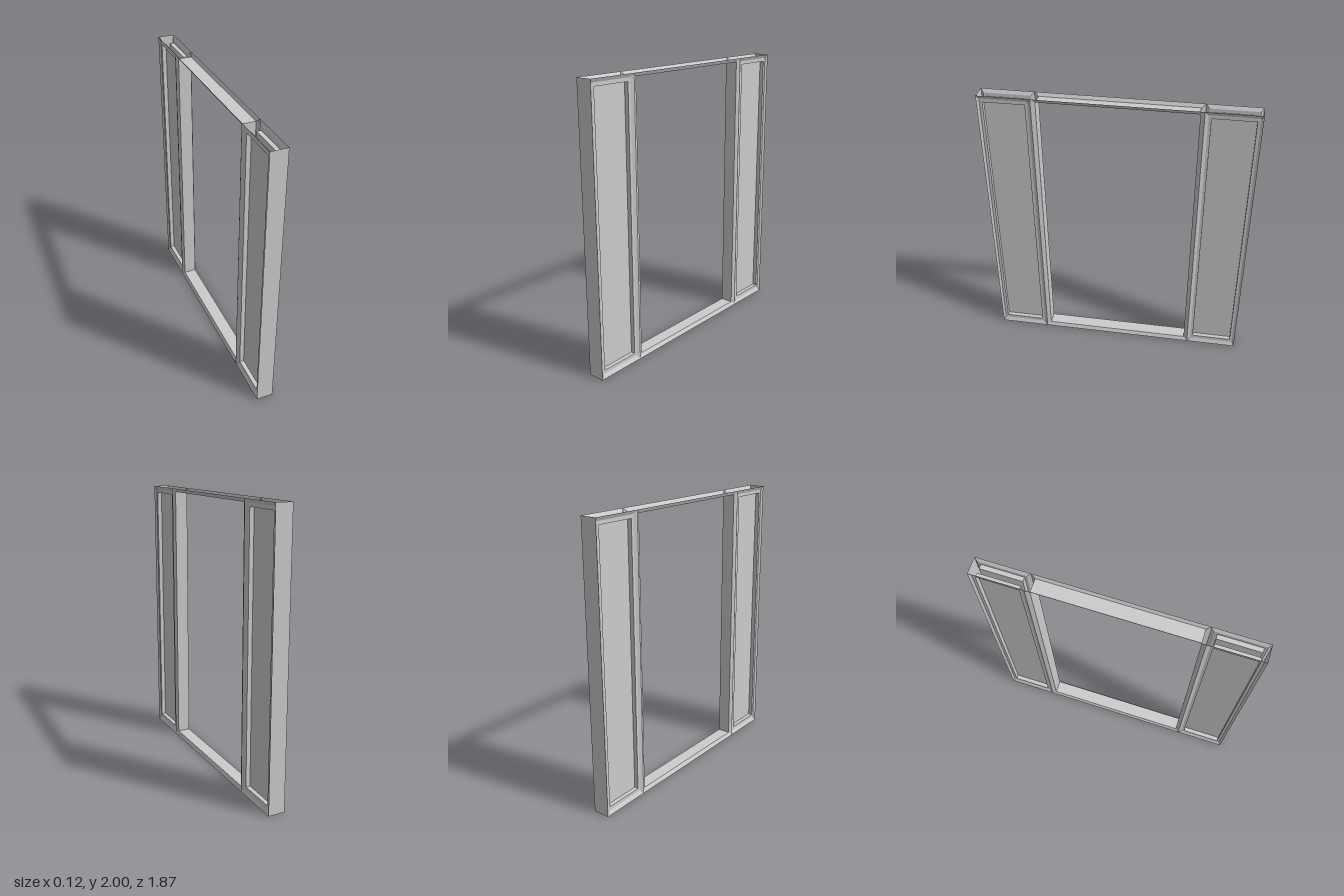
import * as THREE from 'three';

const material = new THREE.MeshStandardMaterial({ color: 0xcccccc, side: THREE.DoubleSide, flatShading: true });

// Joins successive rectangular loops [x, zMin, zMax, yMin, yMax] with mitred strips;
// cap closes the last loop with a flat panel.
function nestedLoops(loops, cap) {
  const pos = [];
  const corners = ([x, z0, z1, y0, y1]) => [[x, y0, z1], [x, y0, z0], [x, y1, z0], [x, y1, z1]];
  const quad = (a, b, c, d) => pos.push(...a, ...b, ...c, ...a, ...c, ...d);
  for (let k = 0; k < loops.length - 1; k++) {
    const outer = corners(loops[k]);
    const inner = corners(loops[k + 1]);
    for (let i = 0; i < 4; i++) {
      const j = (i + 1) % 4;
      quad(outer[i], outer[j], inner[j], inner[i]);
    }
  }
  if (cap) quad(...corners(loops[loops.length - 1]));
  const geometry = new THREE.BufferGeometry();
  geometry.setAttribute('position', new THREE.Float32BufferAttribute(pos, 3));
  geometry.computeVertexNormals();
  return geometry;
}

export function createModel() {
  const group = new THREE.Group();
  const add = (name, geometry) => {
    const mesh = new THREE.Mesh(geometry, material);
    mesh.name = name;
    group.add(mesh);
    return mesh;
  };

  const face = 0.06, inset = 0.047, recess = 0.016; // half depths of the frame
  const halfWidth = 0.935, mullion = 0.567;

  // Door opening: bevelled edges on both faces and the lining between them
  add('doorOpening', nestedLoops([
    [face, -mullion, mullion, 0, 2],
    [inset, -0.538, 0.538, 0.03, 1.975],
    [-inset, -0.538, 0.538, 0.03, 1.975],
    [-face, -mullion, mullion, 0, 2],
  ], false));

  for (const side of [1, -1]) {
    // Sidelights: bevel, flat border, recess and panel, on both faces
    const span = (a, b) => (side > 0 ? [a, b] : [-b, -a]);
    const sidelight = nestedLoops([
      [face, ...span(mullion, halfWidth), 0, 2],
      [inset, ...span(0.59, 0.918), 0.03, 1.975],
      [inset, ...span(0.61, 0.898), 0.055, 1.95],
      [recess, ...span(0.61, 0.898), 0.055, 1.95],
    ], true);
    add('sidelightPanel', sidelight);
    add('sidelightPanel', sidelight).rotation.y = Math.PI;

    // Outer jamb, closing the end of the hollow frame
    const jamb = add('outerJamb', new THREE.PlaneGeometry(2 * face, 2));
    jamb.position.set(0, 1, side * halfWidth);
    if (side < 0) jamb.rotation.y = Math.PI;
  }
  return group;
}
